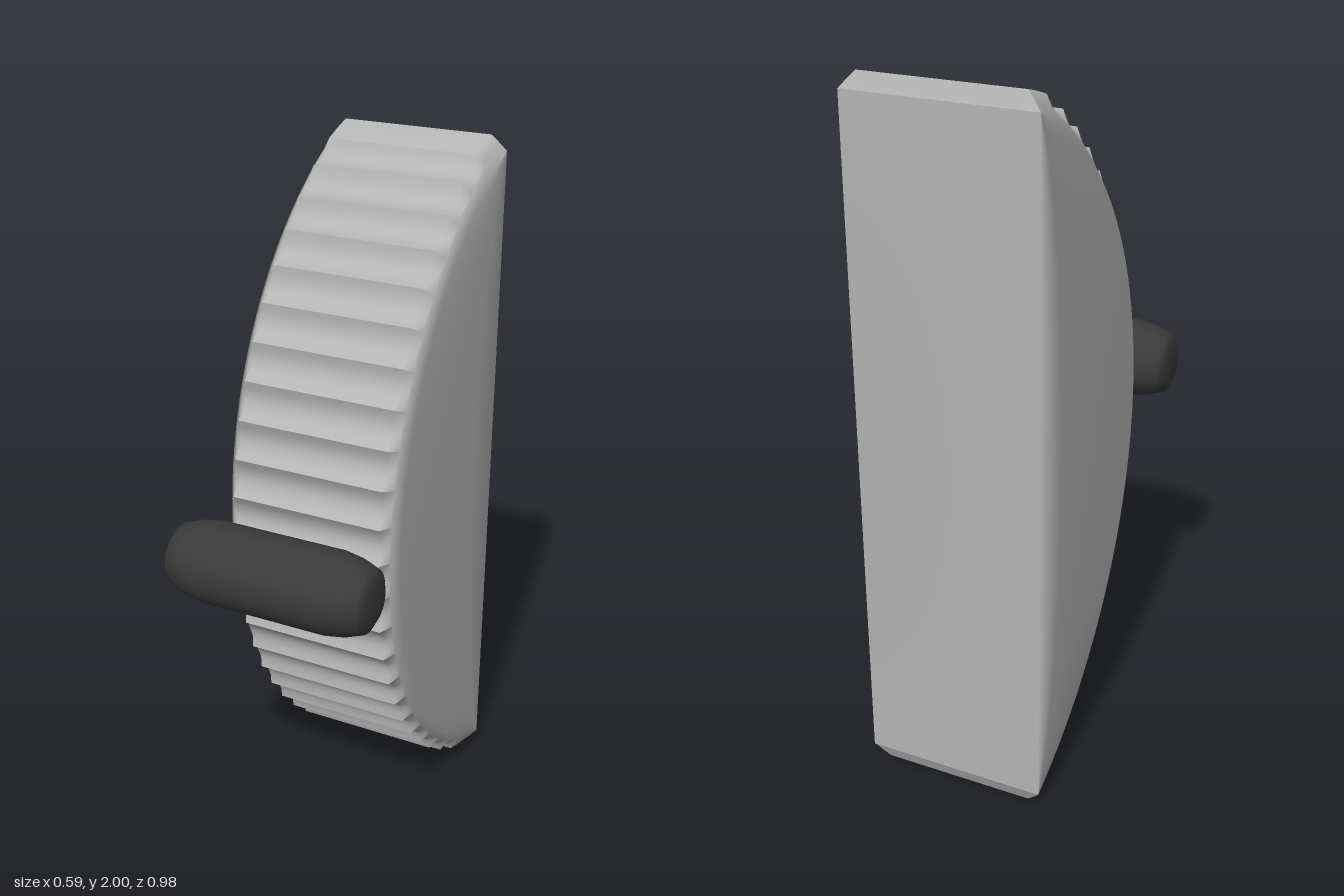
import * as THREE from 'three';

const RIBS = 24, STEPS = 6;              // scallops along the arc, slices per scallop
const MAX = THREE.MathUtils.degToRad(67.5), PITCH = (2 * MAX) / RIBS;
const CZ = -0.885, BACK = -0.49;         // arc centre and flat back
const TIP = 1.095, VALLEY = 1.072, BASE = 1.06, RIM = 1.035, END = 1.082;

// Point on the arc in the side plane at width x
const arc = (x, r, a) => [x, 1 + r * Math.sin(a), CZ + r * Math.cos(a)];

// Skin a list of equal-length cross-sections, rising in y
function skin(rows) {
  const n = rows[0].length, index = [];
  for (let i = 0; i < rows.length - 1; i++) {
    for (let j = 0; j < n - 1; j++) {
      const a = i * n + j, b = a + 1, c = a + n, d = c + 1;
      index.push(a, b, d, a, d, c);
    }
  }
  return toGeometry(rows.flat(), index);
}

function toGeometry(points, index) {
  const g = new THREE.BufferGeometry();
  g.setAttribute('position', new THREE.Float32BufferAttribute(points.flat(), 3));
  g.setIndex(index);
  g.computeVertexNormals();
  return g;
}

// Sides and back: base, rim, inner side, back corner, mirrored
function housingRow(a) {
  const [, y, z] = arc(0, RIM, a);
  const half = [
    arc(0.24, BASE, a),
    [0.26, y, z],
    [0.26, y, z + (BACK - z) * 0.78],
    [0.26, y, BACK - 0.0005],
  ];
  return [...half, ...half.map(([x, py, pz]) => [-x, py, pz]).reverse()];
}

// One scallop slice, sloping down to the rim at both ends
function treadRow(a, r) {
  return [arc(-0.24, BASE, a), arc(-0.22, r, a), arc(0.22, r, a), arc(0.24, BASE, a)];
}

// Small flat facet closing the top or bottom
function endCap(a) {
  const [, y] = arc(0, RIM, a);
  const half = [[-0.26, y, BACK - 0.0005], arc(-0.26, RIM, a), arc(-0.24, BASE, a), arc(-0.22, END, a)];
  const loop = [...half, ...half.map(([x, py, pz]) => [-x, py, pz]).reverse()];
  const index = [];
  for (let j = 1; j < loop.length - 1; j++) {
    index.push(...(a > 0 ? [0, j, j + 1] : [0, j + 1, j]));
  }
  return toGeometry(loop, index);
}

export function createModel() {
  const group = new THREE.Group();
  const grey = new THREE.MeshStandardMaterial({ color: 0xb4b4b4 });
  grey.name = 'light grey';
  const dark = new THREE.MeshStandardMaterial({ color: 0x3a3a3a });
  dark.name = 'dark grey';
  const add = (parent, name, geometry, material) => {
    const mesh = new THREE.Mesh(geometry, material);
    mesh.name = name;
    parent.add(mesh);
    return mesh;
  };

  // Half-moon housing
  const rows = [];
  for (let i = 0; i <= RIBS * STEPS; i++) rows.push(housingRow(-MAX + (i / STEPS) * PITCH));
  add(group, 'housing', skin(rows), grey);
  add(group, 'topCap', endCap(MAX), grey);
  add(group, 'bottomCap', endCap(-MAX), grey);

  // Scalloped tread; the first and last segments are plain ramps
  const tread = new THREE.Group();
  tread.name = 'tread';
  for (let k = 0; k < RIBS; k++) {
    const slices = [];
    for (let s = 0; s <= STEPS; s++) {
      const t = s / STEPS, u = 2 * t - 1;
      let r = VALLEY + (TIP - VALLEY) * u * u;
      if (k === 0) r = END + (TIP - END) * t;
      if (k === RIBS - 1) r = TIP + (END - TIP) * t;
      slices.push(treadRow(-MAX + (k + t) * PITCH, r));
    }
    add(tread, 'rib', skin(slices), grey);
  }
  group.add(tread);

  // Rounded roller in front, lying along x
  const half = [[0, 0.295], [0.06, 0.295], [0.087, 0.281], [0.104, 0.235], [0.113, 0.18]];
  const profile = [...half.map(([r, x]) => [r, -x]), ...half.slice().reverse()]
    .map(([r, x]) => new THREE.Vector2(r, x));
  const roller = add(group, 'roller', new THREE.LatheGeometry(profile, 32), dark);
  roller.rotation.z = -Math.PI / 2;
  roller.position.set(0, 1, 0.377);

  return group;
}
